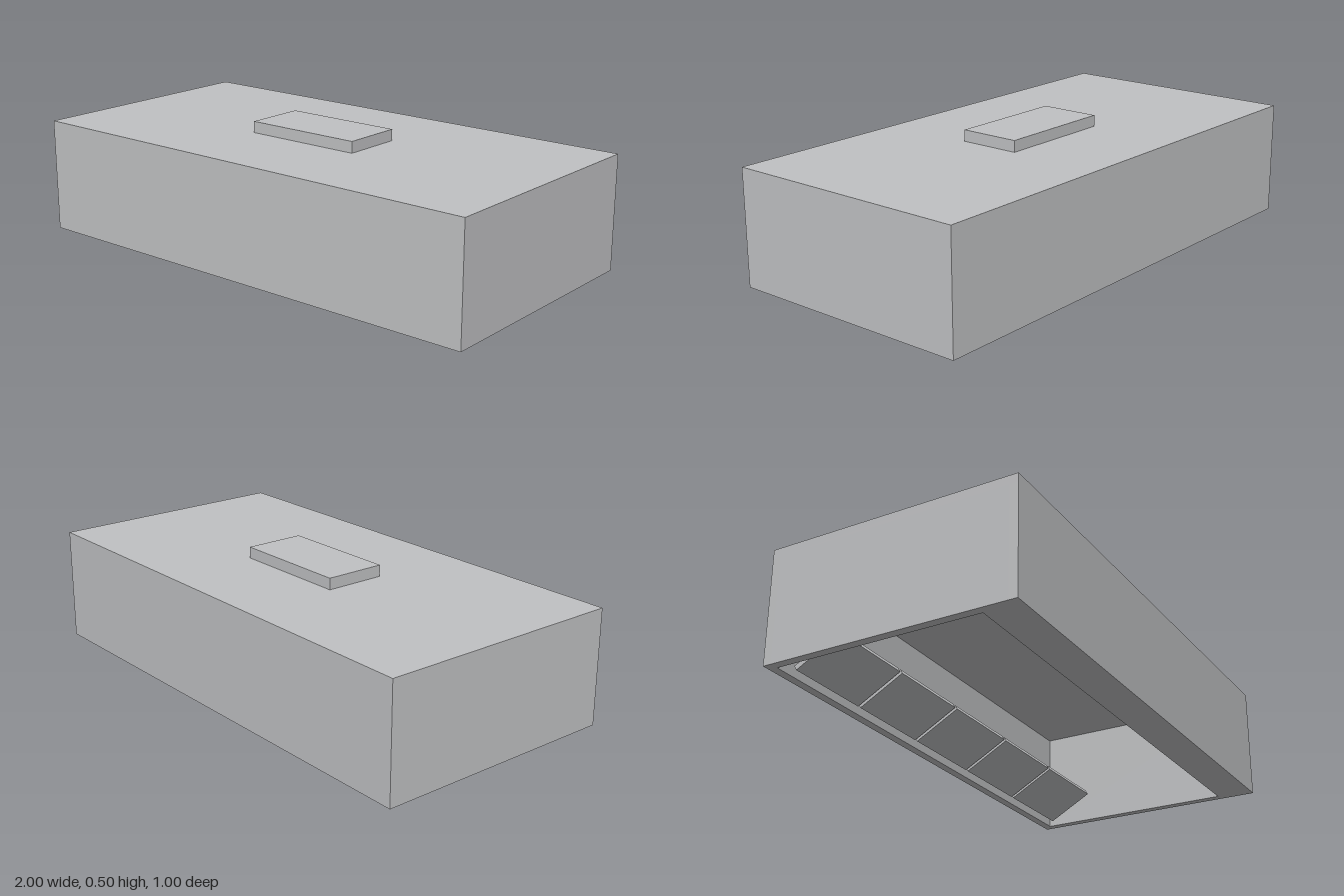
import * as THREE from 'three';

export function createModel() {
  const model = new THREE.Group();
  const steel = new THREE.MeshStandardMaterial({ color: 0xc0c1c3 });
  steel.name = 'brushed steel';

  // Box given by its lower and upper corners
  function box(name, [x0, y0, z0], [x1, y1, z1]) {
    const mesh = new THREE.Mesh(new THREE.BoxGeometry(x1 - x0, y1 - y0, z1 - z0), steel);
    mesh.position.set((x0 + x1) / 2, (y0 + y1) / 2, (z0 + z1) / 2);
    mesh.name = name;
    model.add(mesh);
    return mesh;
  }

  const wall = 0.034;      // panel thickness
  const wallTop = 0.42;
  const deckTop = 0.455;
  const inX = 1 - wall, inZ = 0.5 - wall;

  // Canopy shell, open underneath
  box('topPanel', [-1, wallTop, -0.5], [1, deckTop, 0.5]);
  box('frontPanel', [-1, 0, inZ], [1, wallTop, 0.5]);
  box('backPanel', [-1, 0, -0.5], [1, wallTop, -inZ]);
  box('leftPanel', [inX, 0, -inZ], [1, wallTop, inZ]);
  box('rightPanel', [-1, 0, -inZ], [-inX, wallTop, inZ]);

  // Duct collar on top
  box('ductCollar', [-0.245, deckTop, -0.1225], [0.245, 0.5, 0.1225]);

  // Ledge along the inside of the front panel
  box('frontLedge', [-inX, 0, 0.354], [inX, 0.087, inZ]);

  // Row of five sloped filter panels rising from the foot of the back panel
  const low = { y: 0.002, z: -0.43 }, high = { y: 0.1, z: -0.25 };
  const thickness = 0.02, pitch = 0.369, width = 0.355;
  const run = Math.hypot(high.y - low.y, high.z - low.z);
  const slope = Math.atan2(high.y - low.y, high.z - low.z);
  for (let i = -2; i <= 2; i++) {
    const panel = new THREE.Mesh(new THREE.BoxGeometry(width, thickness, run), steel);
    panel.name = 'filterPanel' + (i + 3);
    panel.rotation.x = -slope;
    panel.position.set(i * pitch, (low.y + high.y) / 2 + thickness / 2, (low.z + high.z) / 2);
    model.add(panel);
  }

  return model;
}
